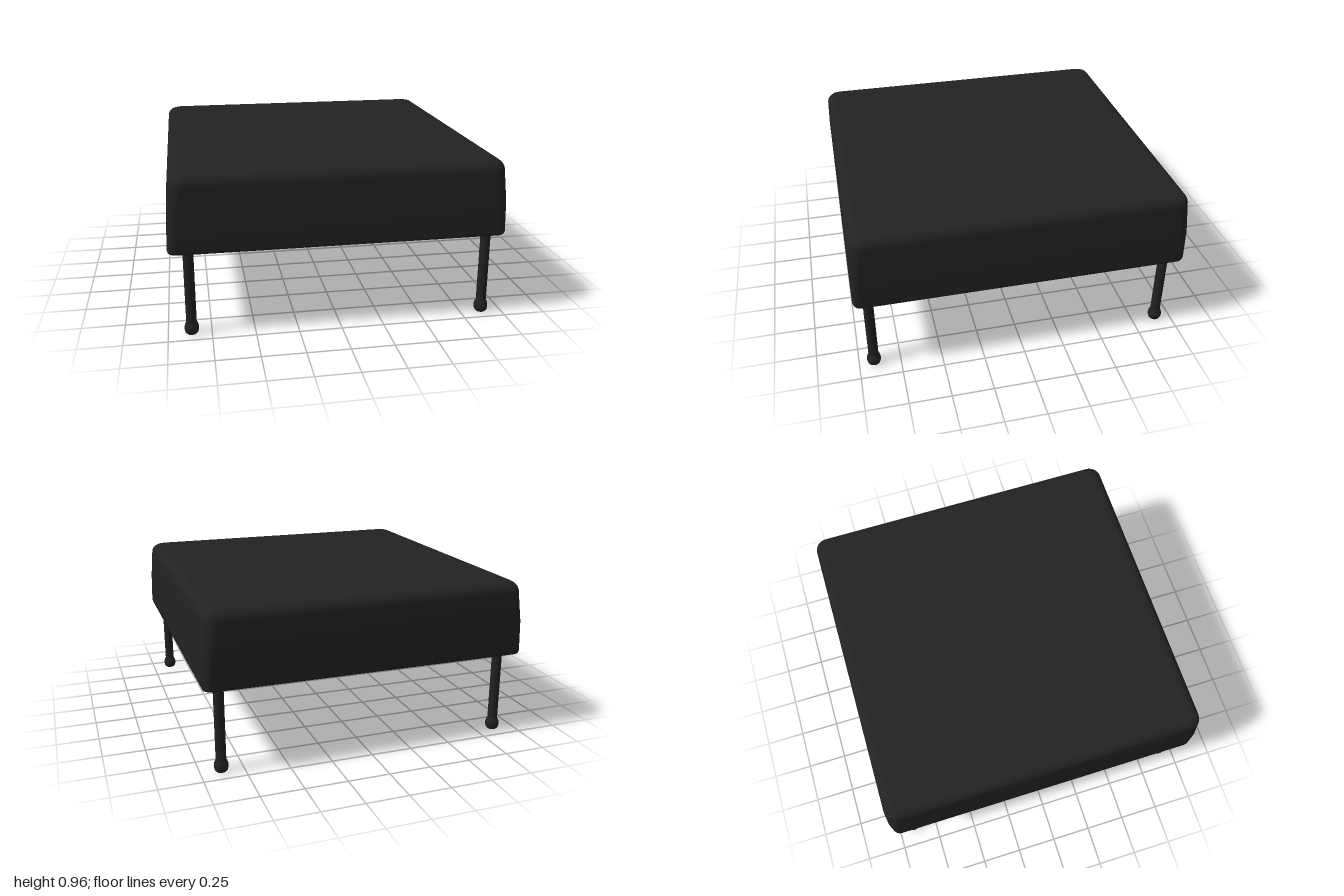
import * as THREE from 'three';

// Skin through rounded-rectangle rings: [y, half width, half depth, corner radius]
function loftRoundedRects(rings, steps = 8) {
  const positions = [], index = [], n = 4 * (steps + 1);
  for (const [y, hx, hz, r] of rings) {
    for (let q = 0; q < 4; q++) {
      const sx = q === 0 || q === 3 ? 1 : -1, sz = q < 2 ? 1 : -1;
      for (let s = 0; s <= steps; s++) {
        const a = (q + s / steps) * Math.PI / 2;
        positions.push(sx * (hx - r) + r * Math.cos(a), y, sz * (hz - r) + r * Math.sin(a));
      }
    }
  }
  for (let k = 0; k < rings.length - 1; k++) {
    for (let i = 0; i < n; i++) {
      const a = k * n + i, b = k * n + (i + 1) % n;
      index.push(a, a + n, b, b, a + n, b + n);
    }
  }
  const geometry = new THREE.BufferGeometry();
  geometry.setAttribute('position', new THREE.Float32BufferAttribute(positions, 3));
  geometry.setIndex(index);
  geometry.computeVertexNormals();
  return geometry;
}

export function createModel() {
  const group = new THREE.Group();
  const black = new THREE.MeshStandardMaterial({ color: 0x222222 });
  black.name = 'black';

  // Upholstered seat: slightly tapered sides, soft top edge, tight bottom edge
  const rings = [
    [0.513, 0, 0, 0],
    [0.513, 0.94, 0.96, 0.04],
    [0.514, 0.962, 0.982, 0.045],
    [0.52, 0.974, 0.993, 0.05],
    [0.535, 0.978, 0.997, 0.05],
    [0.72, 0.972, 0.997, 0.052],
  ];
  const edge = 0.065, top = 0.965;
  for (let i = 0; i <= 8; i++) {
    const a = i / 8 * Math.PI / 2, inset = edge * (1 - Math.cos(a));
    rings.push([top - edge + edge * Math.sin(a), 0.96 - inset, 0.99 - inset, 0.075 - inset * 0.5]);
  }
  rings.push([top + 0.001, 0.85, 0.88, 0.03], [top + 0.002, 0, 0, 0]);
  const seat = new THREE.Mesh(loftRoundedRects(rings), black);
  seat.name = 'seat';
  group.add(seat);

  // Slim round legs ending in bulbous feet
  const legGeometry = new THREE.CylinderGeometry(0.03, 0.03, 0.47, 24);
  const footGeometry = new THREE.LatheGeometry([
    [0, 0], [0.028, 0], [0.037, 0.01], [0.042, 0.03], [0.041, 0.045], [0.036, 0.062], [0.03, 0.072],
  ].map(([r, y]) => new THREE.Vector2(r, y)), 24);
  for (const x of [-0.865, 0.88]) {
    for (const z of [-0.9, 0.91]) {
      const leg = new THREE.Mesh(legGeometry, black);
      leg.name = 'leg';
      leg.position.set(x, 0.285, z);
      const foot = new THREE.Mesh(footGeometry, black);
      foot.name = 'foot';
      foot.position.set(x, 0.003, z);
      group.add(leg, foot);
    }
  }
  return group;
}
